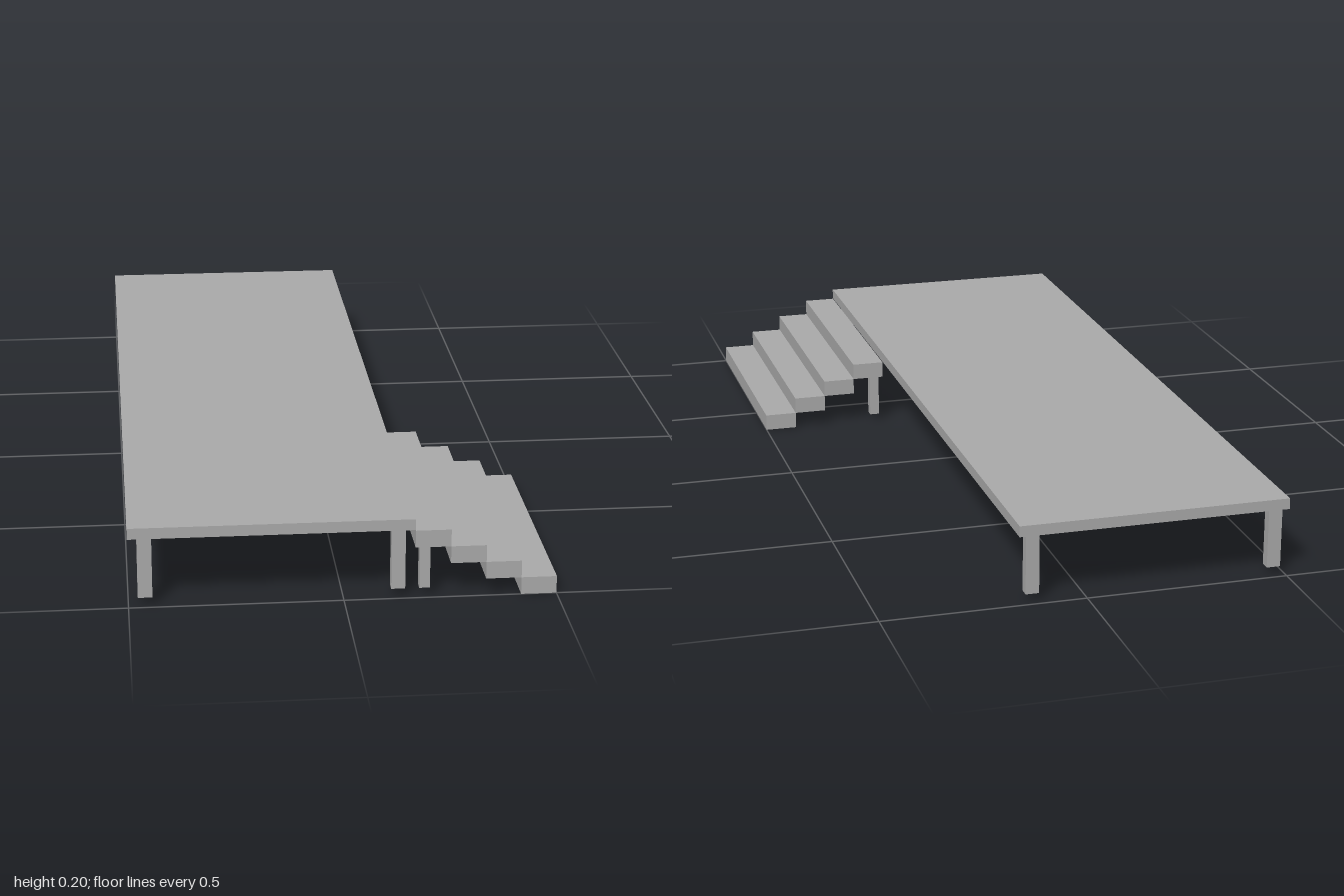
import * as THREE from 'three';

export function createModel() {
  const model = new THREE.Group();
  model.name = 'steppedPlatform';
  const grey = new THREE.MeshStandardMaterial({ color: 0xaaaaaa });
  grey.name = 'plain grey';

  // Box given by its extents along each axis
  function block(name, [x0, x1], [y0, y1], [z0, z1]) {
    const mesh = new THREE.Mesh(new THREE.BoxGeometry(x1 - x0, y1 - y0, z1 - z0), grey);
    mesh.position.set((x0 + x1) / 2, (y0 + y1) / 2, (z0 + z1) / 2);
    mesh.name = name;
    model.add(mesh);
  }

  const deckEdge = 0.166, deckBottom = 0.171, legBottom = 0.018;
  const frontZ = [0.96, 0.985], backZ = [-0.981, -0.956];

  // Deck
  block('deck', [-0.5, deckEdge], [deckBottom, 0.198], [-1, 1]);

  // Deck legs; the back right one stands a little further out
  const legY = [legBottom, deckBottom];
  block('frontRightLeg', [-0.478, -0.444], legY, frontZ);
  block('backRightLeg', [-0.49, -0.456], legY, backZ);
  block('frontLeftLeg', [0.112, 0.145], legY, frontZ);
  block('backLeftLeg', [0.112, 0.145], legY, backZ);

  // Four steps going down to the side
  const run = (0.5 - deckEdge) / 4, rise = 0.0423;
  for (let i = 0; i < 4; i++) {
    const x = deckEdge + i * run, y = (3 - i) * rise;
    block(`step${i + 1}`, [x, x + run], [y, y + rise], [0.352, 1]);
  }

  // Legs under the top step
  for (const [name, z] of [['frontStepLeg', frontZ], ['backStepLeg', [0.352, 0.377]]]) {
    block(name, [0.178, 0.203], [legBottom, 3 * rise], z);
  }
  return model;
}
